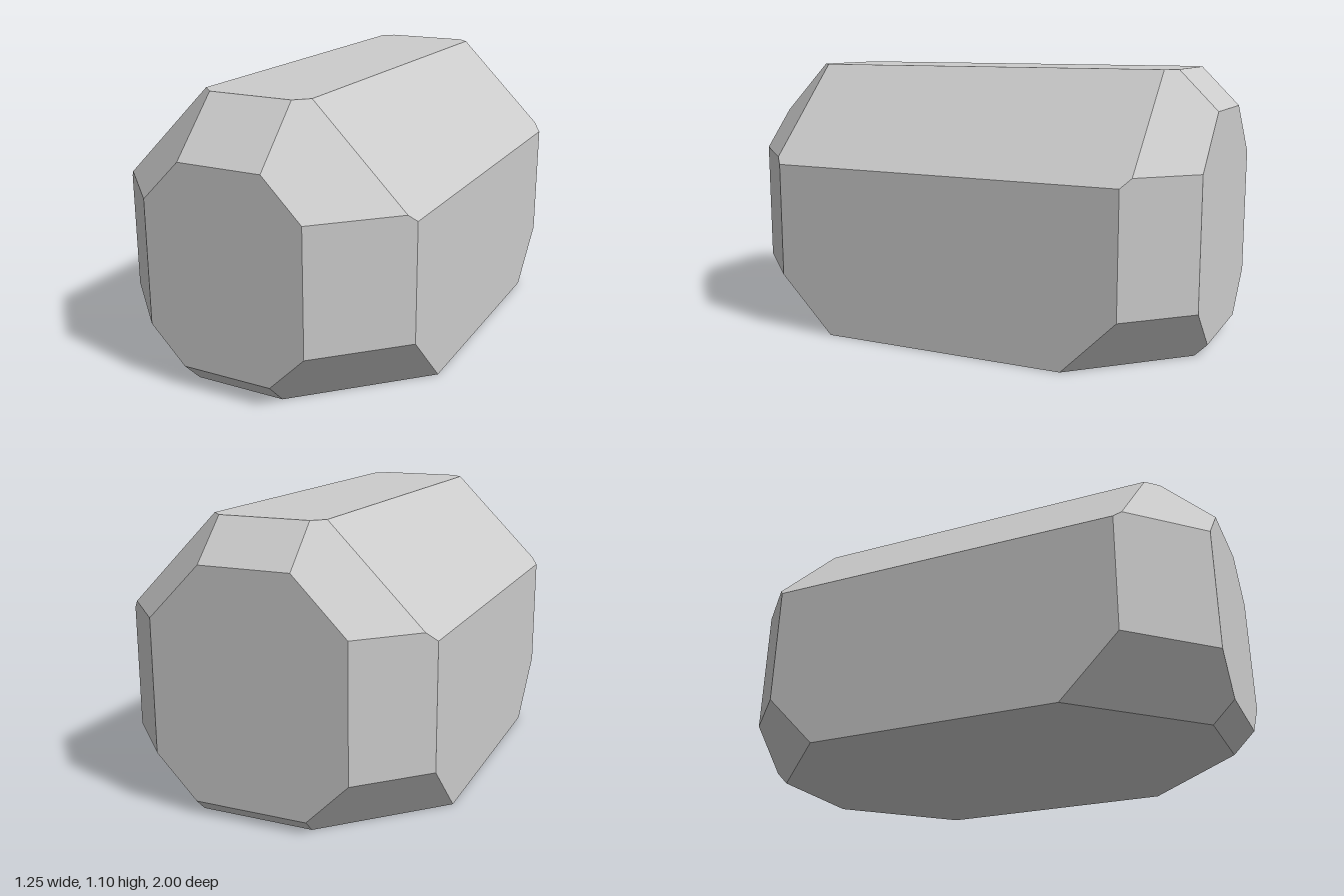
import * as THREE from 'three';
import { ConvexGeometry } from 'three/addons/geometries/ConvexGeometry.js';

// Block limits: half width, height, half length, and the sloped sides x + y = ROOF
const W = 0.625, H = 1.1, L = 1, ROOF = 1.325;

// Corners of one bevelled end (x > 0 half, outward along +z).
// side: x + z, top: y + z, bottom: z - y, upper: x + y + z, lower: x - y + z
function endCorners({ side, top, bottom, upper, lower }) {
  const yHigh = upper - side, yLow = side - lower;
  const xHigh = upper - top, xLow = lower - bottom;
  return [
    // flat end face
    [side - L, yLow, L], [side - L, yHigh, L], [xHigh, top - L, L], [xLow, L - bottom, L],
    // top edge and sloped side
    [xHigh, H, top - H], [ROOF - H, H, upper - ROOF],
    [ROOF - yHigh, yHigh, side - ROOF + yHigh], [W, ROOF - W, side - W],
    // vertical side and base
    [W, yLow, side - W], [W, 0, lower - W], [xLow, 0, bottom],
  ];
}

export function createModel() {
  const group = new THREE.Group();
  group.name = 'facetedBlock';

  const front = endCorners({ side: 1.33, top: 1.885, bottom: 0.912, upper: 2.057, lower: 1.098 });
  const back = endCorners({ side: 1.39, top: 1.945, bottom: 0.95, upper: 2.125, lower: 1.175 });

  // Mirror both ends across x and wrap them in one convex shell
  const points = [];
  for (const [corners, dir] of [[front, 1], [back, -1]]) {
    for (const [x, y, z] of corners) {
      for (const s of [1, -1]) points.push(new THREE.Vector3(s * x, y, dir * z));
    }
  }

  const body = new THREE.Mesh(
    new ConvexGeometry(points),
    new THREE.MeshStandardMaterial({ color: 0xcccccc, flatShading: true })
  );
  body.name = 'body';
  group.add(body);
  return group;
}
